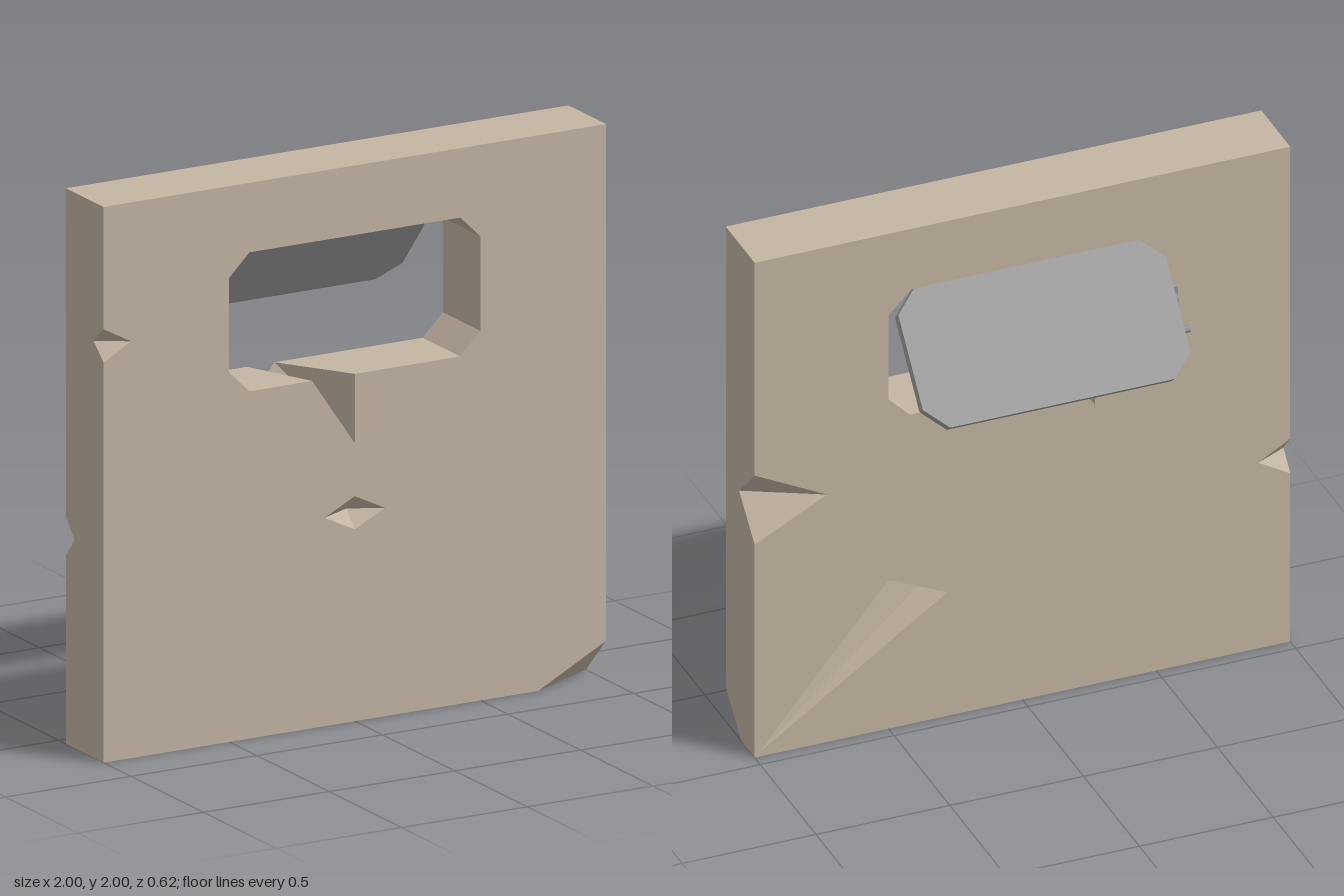
import * as THREE from 'three';

const ZF = 0.31, ZB = 0.05; // front and back planes of the wall
const V = (x, y, z) => new THREE.Vector3(x, y, z);
const atZ = (list, z) => list.map(([x, y]) => V(x, y, z));
const atX = (list, x) => list.map(([y, z]) => V(x, y, z));
const atY = (list, y) => list.map(([x, z]) => V(x, y, z));

// Collects flat polygons into one flat-shaded geometry
function faceBuilder() {
  const pos = [];
  const tri = (a, b, c) => { for (const p of [a, b, c]) pos.push(p.x, p.y, p.z); };
  // Triangle turned so that its front looks towards a point
  const triTo = (a, b, c, to) => {
    const n = b.clone().sub(a).cross(c.clone().sub(a));
    if (n.dot(to.clone().sub(a)) >= 0) tri(a, b, c); else tri(a, c, b);
  };
  // Polygon with holes, lying across the given axis
  const poly = (pts, axis, to, holes = []) => {
    const flat = (p) => axis === 'x' ? new THREE.Vector2(p.z, p.y)
      : axis === 'y' ? new THREE.Vector2(p.x, p.z) : new THREE.Vector2(p.x, p.y);
    const all = pts.concat(...holes);
    THREE.ShapeUtils.triangulateShape(pts.map(flat), holes.map((h) => h.map(flat)))
      .forEach(([a, b, c]) => triTo(all[a], all[b], all[c], to));
  };
  const geometry = () => {
    const g = new THREE.BufferGeometry();
    g.setAttribute('position', new THREE.Float32BufferAttribute(pos, 3));
    g.computeVertexNormals();
    return g;
  };
  return { tri, triTo, poly, geometry };
}

// Chamfered window outline, counter-clockwise, with a crack in its sill
const opening = (crack) => [[-0.5, 1.33], [-0.42, 1.25], ...crack, [0.42, 1.25], [0.5, 1.33],
  [0.5, 1.67], [0.42, 1.75], [-0.42, 1.75], [-0.5, 1.67]];

function wallGeometry() {
  const f = faceBuilder();
  const holeF = atZ(opening([[-0.17, 1.25], [0, 1.0], [0, 1.25]]), ZF);
  const holeB = atZ(opening([[-0.28, 1.25], [-0.27, 1.13], [-0.17, 1.25]]), ZB);
  const dent = atZ([[-0.12, 0.75], [0, 0.69], [0.12, 0.75], [0, 0.81]], ZF);
  const gouge = atZ([[0.99, 0.012], [0.5, 0.6], [0.28, 0.5]], ZB);

  // Front and back faces
  f.poly(atZ([[-1, 0], [0.73, 0], [1, 0.14], [1, 2], [-1, 2], [-1, 1.56], [-0.89, 1.5], [-1, 1.44]], ZF),
    'z', V(0, 0, 9), [holeF, dent]);
  f.poly(atZ([[-1, 0], [1, 0], [1, 0.86], [0.73, 1], [1, 1.14], [1, 2], [-1, 2],
    [-1, 0.82], [-0.88, 0.75], [-1, 0.68]], ZB), 'z', V(0, 0, -9), [holeB, gouge]);

  // Sides, top and bottom
  f.poly(atX([[0.14, ZF], [2, ZF], [2, ZB], [1.14, ZB], [1, 0.19], [0.86, ZB], [0, ZB], [0, 0.17]], 1),
    'x', V(9, 0, 0));
  f.poly(atX([[0, ZF], [0, ZB], [0.68, ZB], [0.75, 0.11], [0.82, ZB], [2, ZB], [2, ZF],
    [1.56, ZF], [1.5, 0.24], [1.44, ZF]], -1), 'x', V(-9, 0, 0));
  f.poly(atY([[-1, ZF], [1, ZF], [1, ZB], [-1, ZB]], 2), 'y', V(0, 9, 0));
  f.poly(atY([[-1, ZF], [0.73, ZF], [1, 0.17], [1, ZB], [-1, ZB]], 0), 'y', V(0, -9, 0));

  // Inside of the opening
  holeF.forEach((a, i) => {
    const j = (i + 1) % holeF.length;
    f.tri(a, holeF[j], holeB[j]);
    f.tri(a, holeB[j], holeB[i]);
  });

  // Chips along the upright edges: [side x, y, half height, face z, inner x, inner z]
  for (const [x, y, h, z, xi, zi] of [
    [1, 1, 0.14, ZB, 0.73, 0.19],
    [-1, 0.75, 0.07, ZB, -0.88, 0.11],
    [-1, 1.5, 0.06, ZF, -0.89, 0.24],
  ]) {
    for (const s of [1, -1]) f.triTo(V(x, y + s * h, z), V(xi, y, z), V(x, y, zi), V(x, y, z));
  }
  // Broken bottom corner
  f.triTo(V(0.73, 0, ZF), V(1, 0.14, ZF), V(1, 0, 0.17), V(1, 0, ZF));
  // Diamond dent in the front
  dent.forEach((p, i) => f.triTo(p, dent[(i + 1) % 4], V(0, 0.75, 0.25), V(0, 0.75, ZF)));
  // Long gouge in the back
  const [p0, p1, p2] = gouge, q1 = V(0.47, 0.55, 0.13), q2 = V(0.33, 0.52, 0.13);
  const mid = V(0.59, 0.37, ZB);
  for (const [a, b, c] of [[p0, p1, q1], [p0, q1, q2], [p0, q2, p2], [p1, p2, q2], [p1, q2, q1]]) {
    f.triTo(a, b, c, mid);
  }
  return f.geometry();
}

export function createModel() {
  const model = new THREE.Group();
  const paint = (color) => new THREE.MeshStandardMaterial({ color, flatShading: true });
  const stone = paint(0xc4b5a3), steel = paint(0xa0a0a0), iron = paint(0x8f959a);
  const add = (name, geometry, material, x = 0, y = 0, z = 0, parent = model) => {
    const m = new THREE.Mesh(geometry, material);
    m.name = name;
    m.position.set(x, y, z);
    parent.add(m);
    return m;
  };

  add('wall', wallGeometry(), stone);

  // Shutter hung from the top of the opening, tilted out at the back
  const outline = new THREE.Shape(opening([]).map(([x, y]) => new THREE.Vector2(x, y - 1.75)));
  const panel = new THREE.ExtrudeGeometry(outline, { depth: 0.04, bevelEnabled: false });
  panel.translate(0, 0, -0.04);
  add('shutter', panel, steel, 0, 1.755, 0.045).rotation.x = THREE.MathUtils.degToRad(40.5);

  // Stay that props the shutter open
  const stay = new THREE.Group();
  stay.name = 'shutterStay';
  model.add(stay);
  add('mountPlate', new THREE.BoxGeometry(0.06, 0.2, 0.025), iron, -0.54, 1.45, 0.0375, stay);
  add('pivotBlock', new THREE.BoxGeometry(0.03, 0.15, 0.03), iron, -0.54, 1.455, 0.015, stay);
  add('pivotBarrel', new THREE.CylinderGeometry(0.025, 0.025, 0.15, 8), iron, -0.54, 1.455, 0.002, stay);
  add('pivotPin', new THREE.CylinderGeometry(0.014, 0.014, 0.04, 8), iron, -0.517, 1.45, 0, stay)
    .rotation.z = Math.PI / 2;
  const from = V(-0.508, 1.45, 0), to = V(-0.508, 1.515, -0.19);
  const dir = to.clone().sub(from);
  const centre = from.clone().add(to).multiplyScalar(0.5);
  add('stayRod', new THREE.CylinderGeometry(0.008, 0.008, dir.length(), 8), iron, centre.x, centre.y, centre.z, stay)
    .quaternion.setFromUnitVectors(V(0, 1, 0), dir.normalize());
  add('endPin', new THREE.CylinderGeometry(0.014, 0.014, 0.03, 8), iron, -0.51, 1.51, -0.185, stay)
    .rotation.z = Math.PI / 2;

  return model;
}
